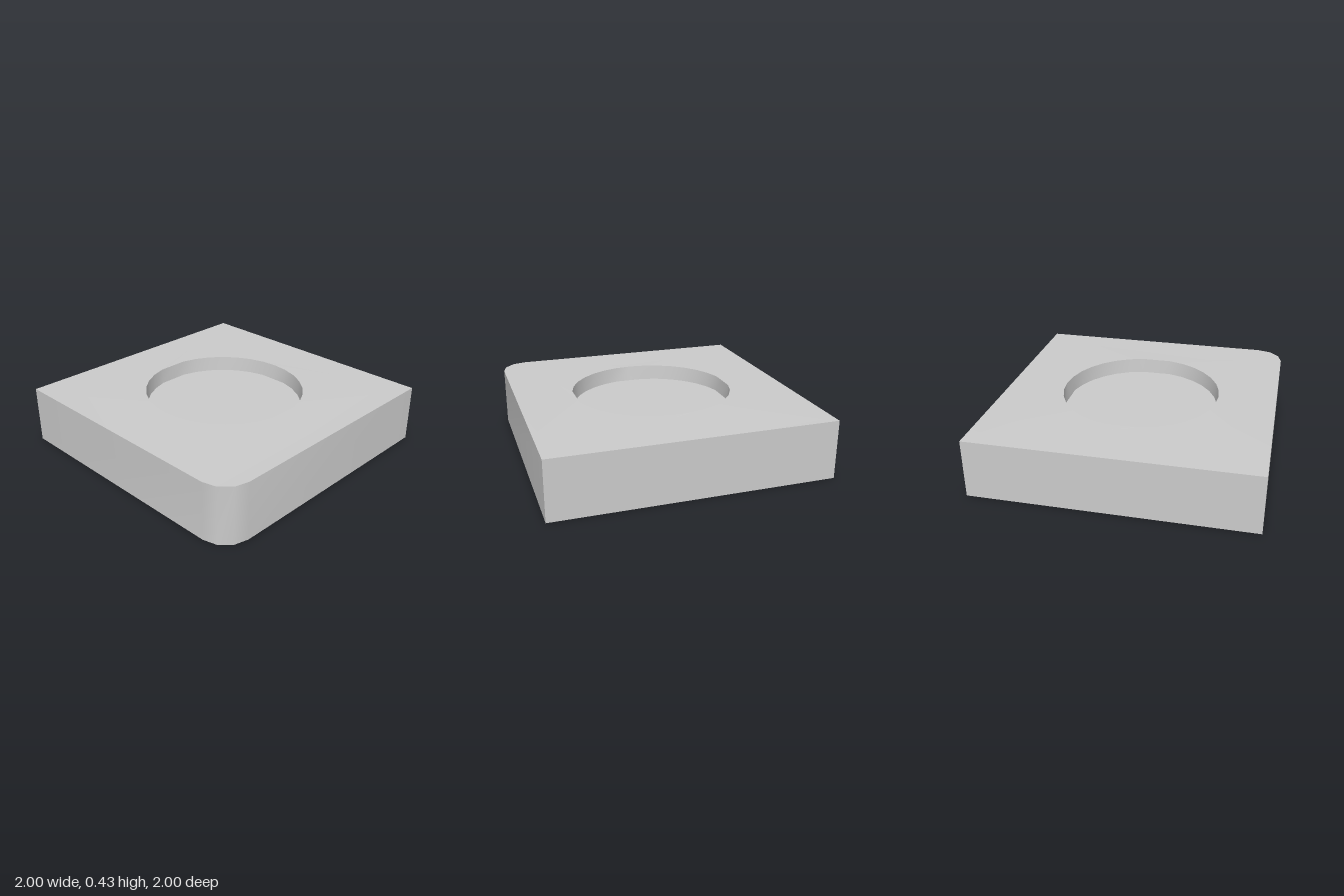
import * as THREE from 'three';
import { toCreasedNormals } from 'three/addons/utils/BufferGeometryUtils.js';

const SIDES = 32, EDGE_Y = 0.425, RIM_Y = 0.434, FLOOR_Y = 0.322;
const FLAT = Math.cos((2 * Math.PI) / SIDES);
const material = new THREE.MeshStandardMaterial({ color: 0xcccccc });

// Plan points are (x, -z), anticlockwise seen from above.
// Square outline with a single rounded corner at front right.
function outlinePoints() {
  const pts = [];
  for (let i = 0; i <= 3; i++) {
    const a = Math.PI + (i / 3) * (Math.PI / 2);
    pts.push(new THREE.Vector2(-0.8 + 0.2 * Math.cos(a), -0.8 + 0.2 * Math.sin(a)));
  }
  pts.push(new THREE.Vector2(1, -1), new THREE.Vector2(1, 1), new THREE.Vector2(-1, 1));
  return pts;
}

// Round outline, flattened where it meets the axes.
function roundPoints(rx, rz, limitX) {
  const clamp = THREE.MathUtils.clamp;
  return Array.from({ length: SIDES }, (_, i) => {
    const a = (i / SIDES) * Math.PI * 2;
    return new THREE.Vector2(
      rx * clamp(Math.cos(a), -limitX, limitX),
      rz * clamp(Math.sin(a), -FLAT, FLAT));
  });
}

// Closed wall joining two plan outlines at two heights.
function wall(a, ya, b, yb) {
  const pos = [];
  const put = (p, y) => pos.push(p.x, y, -p.y);
  for (let i = 0; i < a.length; i++) {
    const j = (i + 1) % a.length;
    put(a[i], ya); put(a[j], ya); put(b[j], yb);
    put(a[i], ya); put(b[j], yb); put(b[i], yb);
  }
  const g = new THREE.BufferGeometry();
  g.setAttribute('position', new THREE.Float32BufferAttribute(pos, 3));
  return toCreasedNormals(g, THREE.MathUtils.degToRad(40));
}

export function createModel() {
  const group = new THREE.Group();
  const add = (name, geometry) => {
    const mesh = new THREE.Mesh(geometry, material);
    mesh.name = name;
    group.add(mesh);
  };

  const outline = outlinePoints();
  const rim = roundPoints(0.58, 0.592, 1);
  const floor = roundPoints(0.57, 0.583, FLAT);

  // Block sides and underside
  add('outerWalls', wall(outline, 0, outline, EDGE_Y));
  const under = outline.map((p) => new THREE.Vector2(p.x, -p.y));
  add('underside', new THREE.ShapeGeometry(new THREE.Shape(under)).rotateX(Math.PI / 2));

  // Top face, rising slightly toward the rim of the recess
  const topShape = new THREE.Shape(outline);
  topShape.holes.push(new THREE.Path(rim));
  const top = new THREE.ShapeGeometry(topShape).rotateX(-Math.PI / 2);
  const pos = top.attributes.position;
  for (let i = 0; i < pos.count; i++) {
    const atRim = Math.hypot(pos.getX(i), pos.getZ(i)) < 0.7;
    pos.setY(i, atRim ? RIM_Y : EDGE_Y);
  }
  top.computeVertexNormals();
  add('topFace', top);

  // Shallow tapered round recess
  add('recessWall', wall(rim, RIM_Y, floor, FLOOR_Y));
  const floorFace = new THREE.ShapeGeometry(new THREE.Shape(floor)).rotateX(-Math.PI / 2);
  add('recessFloor', floorFace.translate(0, FLOOR_Y, 0));

  return group;
}
